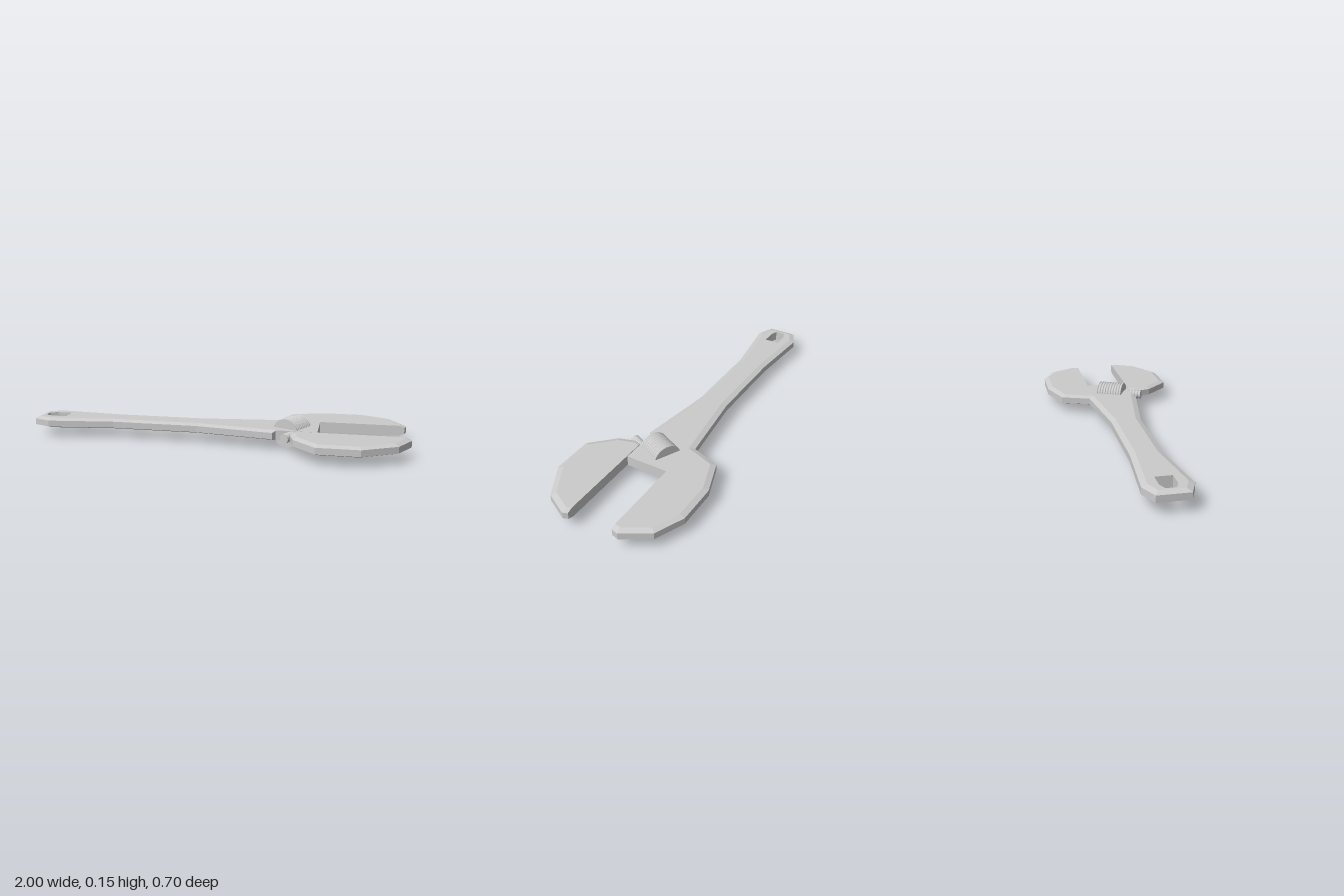
import * as THREE from 'three';

const LOW = 0.047, HIGH = 0.1, EDGE = 0.01, BEVEL = 0.027;
const grey = () => new THREE.MeshStandardMaterial({ color: 0xcccccc, side: THREE.DoubleSide });

// Moves each corner inward; square[] lists the edges (by first corner) that stay unbevelled
function inset(points, square) {
  const n = points.length;
  const edge = (i) => {
    const a = points[i], b = points[(i + 1) % n];
    const d = b.clone().sub(a).normalize();
    return { x: -d.y, z: d.x, w: square.includes(i) ? 0 : BEVEL };
  };
  return points.map((p, i) => {
    const e = edge((i + n - 1) % n), f = edge(i);
    const det = e.x * f.z - e.z * f.x;
    if (Math.abs(det) < 1e-4) return new THREE.Vector2(p.x + f.x * f.w, p.y + f.z * f.w);
    return new THREE.Vector2(p.x + (e.w * f.z - f.w * e.z) / det, p.y + (e.x * f.w - f.x * e.w) / det);
  });
}

// Flat plate with bevelled rims, from an outline of [x, z] corners
function plate(name, outline, square, hole = []) {
  const toVec = ([x, z]) => new THREE.Vector2(x, z);
  const outer = outline.map(toVec), rim = inset(outer, square), gap = hole.map(toVec);
  const pos = [];
  const tri = (...corners) => corners.forEach(([p, y]) => pos.push(p.x, y, p.y));
  const band = (lower, y0, upper, y1) => lower.forEach((a, i) => {
    const j = (i + 1) % lower.length;
    tri([a, y0], [upper[i], y1], [upper[j], y1]);
    tri([a, y0], [upper[j], y1], [lower[j], y0]);
  });
  // rim bevels and straight walls
  band(rim, LOW, outer, LOW + EDGE);
  band(outer, LOW + EDGE, outer, HIGH - EDGE);
  band(outer, HIGH - EDGE, rim, HIGH);
  if (gap.length) band(gap, LOW, gap, HIGH);
  // top and bottom faces
  const all = [...rim, ...gap];
  for (const face of THREE.ShapeUtils.triangulateShape(rim, gap.length ? [gap] : [])) {
    let [a, b, c] = face.map((i) => all[i]);
    if (b.clone().sub(a).cross(c.clone().sub(a)) > 0) [b, c] = [c, b];
    tri([a, HIGH], [b, HIGH], [c, HIGH]);
    tri([a, LOW], [c, LOW], [b, LOW]);
  }
  const geometry = new THREE.BufferGeometry();
  geometry.setAttribute('position', new THREE.Float32BufferAttribute(pos, 3));
  geometry.computeVertexNormals();
  const mesh = new THREE.Mesh(geometry, grey());
  mesh.name = name;
  return mesh;
}

// Ridged cylinder along the slanted screw axis
function threadedRod(name, radius, depth, length, ridges, x, z) {
  const profile = [new THREE.Vector2(0, -length / 2)];
  const step = length / ridges;
  for (let i = 0; i < ridges; i++) {
    const y = -length / 2 + i * step;
    profile.push(new THREE.Vector2(radius, y), new THREE.Vector2(radius, y + step * 0.4),
      new THREE.Vector2(radius - depth, y + step * 0.7));
  }
  profile.push(new THREE.Vector2(radius, length / 2), new THREE.Vector2(0, length / 2));
  const material = grey();
  material.flatShading = true;
  const mesh = new THREE.Mesh(new THREE.LatheGeometry(profile, 32), material);
  mesh.quaternion.setFromUnitVectors(new THREE.Vector3(0, 1, 0), new THREE.Vector3(0.44, 0, -0.9).normalize());
  mesh.position.set(x, 0.075, z);
  mesh.name = name;
  return mesh;
}

export function createModel() {
  const group = new THREE.Group();
  group.name = 'adjustableWrench';

  // Handle and fixed upper jaw, with a hanging hole
  group.add(plate('handleAndFixedJaw', [
    [-1, -0.085], [-0.91, -0.125], [-0.56, -0.098], [-0.1, -0.098], [0.31, -0.145],
    [0.365, -0.295], [0.545, -0.355], [0.755, -0.355], [0.9, -0.29], [0.98, -0.155],
    [0.97, -0.12], [0.535, -0.12], [0.535, 0.102], [0.325, 0.102], [0.31, 0.122],
    [-0.1, 0.06], [-0.56, 0.06], [-0.91, 0.107], [-1, 0.07],
  ], [10, 11, 12, 13], [
    [-0.96, -0.035], [-0.96, 0.015], [-0.92, 0.03], [-0.84, 0.03], [-0.84, -0.052], [-0.92, -0.052],
  ]));

  // Sliding lower jaw
  group.add(plate('slidingJaw', [
    [0.405, 0.105], [0.985, 0.105], [0.995, 0.13], [0.93, 0.25], [0.755, 0.348],
    [0.54, 0.348], [0.425, 0.23], [0.398, 0.135],
  ], [0]));

  // Adjusting worm and the small screw that meets the jaw
  group.add(threadedRod('adjustingWorm', 0.075, 0.004, 0.138, 9, 0.4, 0));
  group.add(threadedRod('jawScrew', 0.024, 0.003, 0.14, 8, 0.405, 0.105));
  return group;
}
